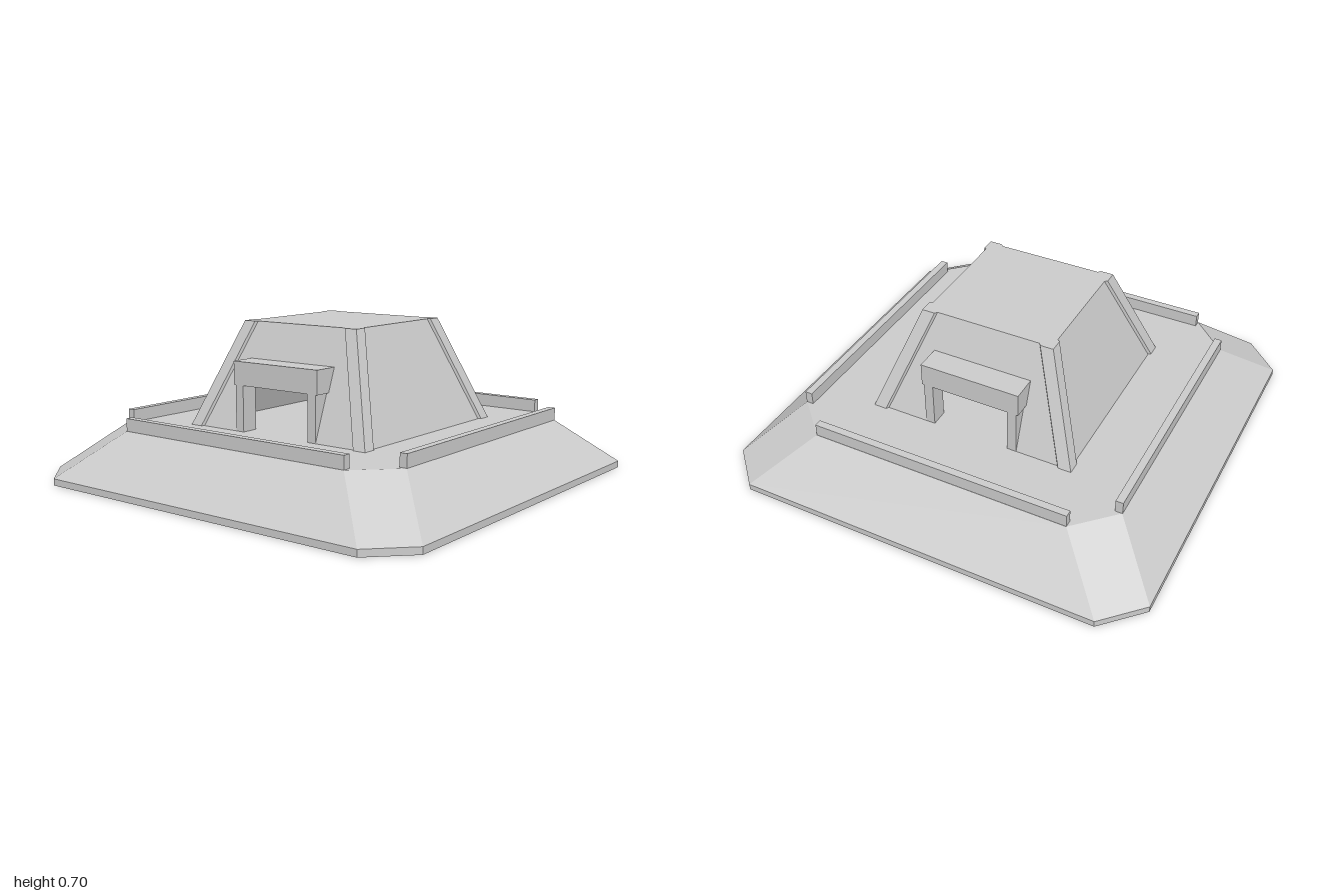
import * as THREE from 'three';
import { ConvexGeometry } from 'three/addons/geometries/ConvexGeometry.js';

const FLOOR = 0.235, TOP = 0.705;       // platform level and roof level
const WALL_BASE = 0.475, WALL_TOP = 0.3; // wall distance from the centre at those levels

const grey = new THREE.MeshStandardMaterial({ color: 0xcccccc, flatShading: true });
const thin = new THREE.MeshStandardMaterial({ color: 0xcccccc, flatShading: true, side: THREE.DoubleSide });

function part(name, geometry, parent, material = grey) {
  const mesh = new THREE.Mesh(geometry, material);
  mesh.name = name;
  parent.add(mesh);
  return mesh;
}

function box(name, x0, x1, y0, y1, z0, z1, parent) {
  const g = new THREE.BoxGeometry(x1 - x0, y1 - y0, z1 - z0);
  g.translate((x0 + x1) / 2, (y0 + y1) / 2, (z0 + z1) / 2);
  return part(name, g, parent);
}

// Square ring with cut corners: half width h, straight edges ending at c
function cutSquare(hx, hz, cx, cz, y) {
  const points = [];
  for (const sx of [-1, 1]) for (const sz of [-1, 1]) {
    points.push(new THREE.Vector3(sx * hx, y, sz * cz), new THREE.Vector3(sx * cx, y, sz * hz));
  }
  return points;
}

// Leaning wall facing +z, optionally with a doorway cut from its foot
function wallGeometry(hasDoor) {
  const s = new THREE.Shape();
  s.moveTo(-WALL_BASE, FLOOR);
  if (hasDoor) {
    s.lineTo(-0.18, FLOOR);
    s.lineTo(-0.18, 0.44);
    s.lineTo(0.18, 0.44);
    s.lineTo(0.18, FLOOR);
  }
  s.lineTo(WALL_BASE, FLOOR);
  s.lineTo(WALL_TOP, TOP);
  s.lineTo(-WALL_TOP, TOP);
  const g = new THREE.ShapeGeometry(s);
  const p = g.attributes.position;
  for (let i = 0; i < p.count; i++) {
    p.setZ(i, THREE.MathUtils.mapLinear(p.getY(i), FLOOR, TOP, WALL_BASE, WALL_TOP));
  }
  g.computeVertexNormals();
  return g;
}

// Leaning corner post at +x +z, chamfered towards the inside
function postGeometry() {
  const section = [[0, 0], [-0.06, 0], [-0.07, -0.014], [-0.014, -0.07], [0, -0.06]];
  const points = [];
  for (const [corner, y] of [[0.487, FLOOR], [0.312, TOP]]) {
    for (const [x, z] of section) points.push(new THREE.Vector3(corner + x, y, corner + z));
  }
  return new ConvexGeometry(points);
}

export function createModel() {
  const model = new THREE.Group();
  model.name = 'bunker';

  // Sloped foundation with cut corners
  part('foundation', new ConvexGeometry([
    ...cutSquare(0.995, 1, 0.83, 0.835, 0),
    ...cutSquare(0.995, 1, 0.83, 0.835, 0.03),
    ...cutSquare(0.77, 0.775, 0.6, 0.608, FLOOR),
  ]), model);

  // Low parapets along the platform edges
  for (const s of [-1, 1]) {
    const z = s * 0.757, x = s * 0.755;
    box('parapet', -0.6, 0.6, FLOOR, 0.292, z - 0.017, z + 0.017, model);
    box('parapet', x - 0.017, x + 0.017, FLOOR, 0.292, -0.608, 0.608, model);
  }

  // Hollow tower: four walls and four corner posts
  const tower = new THREE.Group();
  tower.name = 'tower';
  model.add(tower);
  for (let i = 0; i < 4; i++) {
    const side = new THREE.Group();
    side.name = 'towerSide';
    side.rotation.y = i * Math.PI / 2;
    tower.add(side);
    const hasDoor = i % 2 === 0;
    part('wall', wallGeometry(hasDoor), side, thin);
    part('cornerPost', postGeometry(), side);

    // Door porch with two jambs under a lintel
    if (hasDoor) {
      for (const [x0, x1] of [[-0.223, -0.18], [0.18, 0.223]]) {
        box('doorJamb', x0, x1, FLOOR, 0.44, 0.395, 0.475, side);
      }
      box('doorLintel', -0.233, 0.233, 0.44, 0.545, 0.355, 0.475, side);
    }
  }

  // Flat roof
  const roof = new THREE.PlaneGeometry(2 * WALL_TOP, 2 * WALL_TOP);
  roof.rotateX(-Math.PI / 2);
  roof.translate(0, TOP, 0);
  part('roof', roof, tower, thin);

  return model;
}
